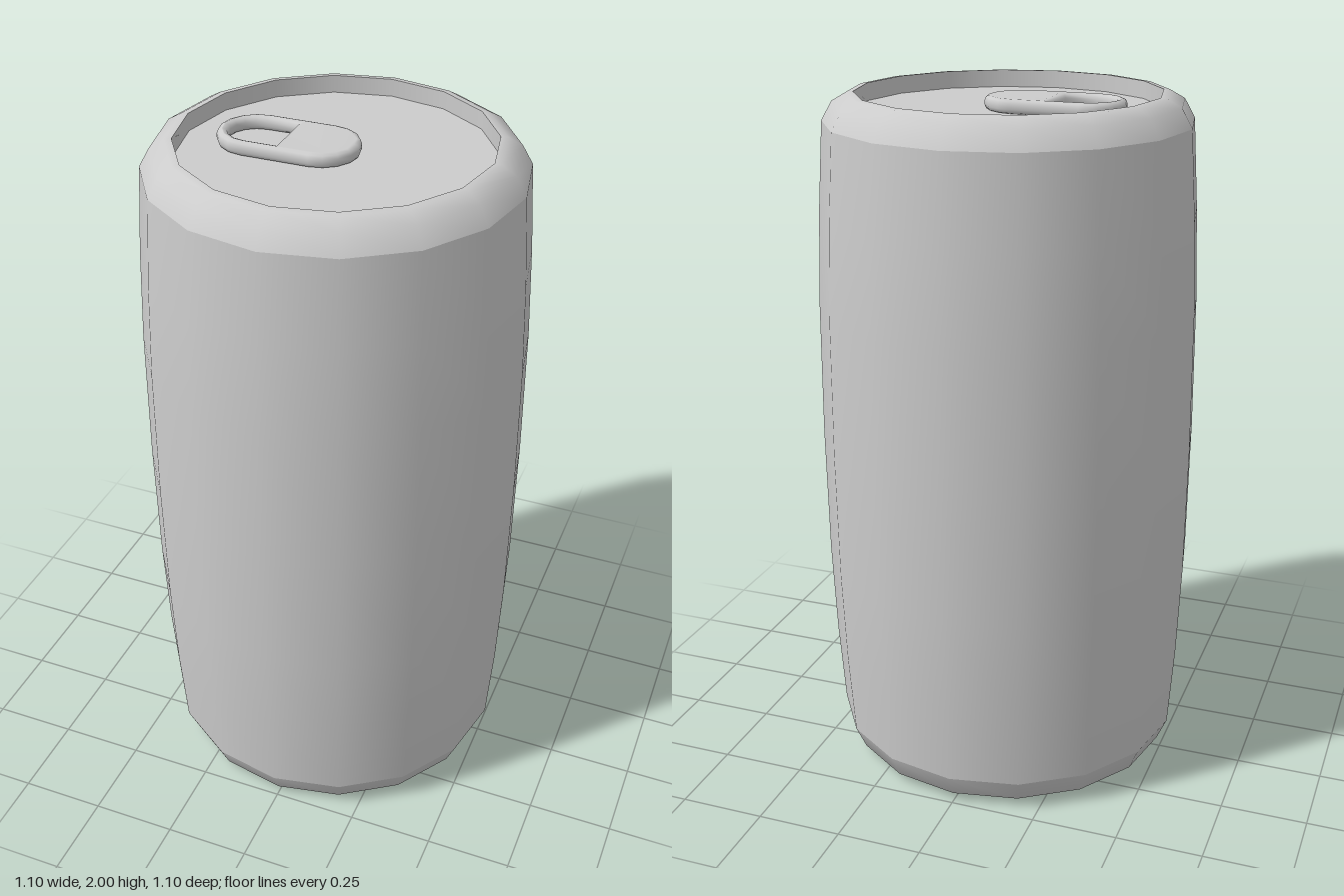
import * as THREE from 'three';
import { mergeVertices } from 'three/addons/utils/BufferGeometryUtils.js';

const SIDES = 16;

export function createModel() {
  const can = new THREE.Group();
  can.name = 'drinkCan';
  const metal = new THREE.MeshStandardMaterial({ color: 0xcccccc });
  metal.name = 'bare metal';

  const add = (name, geometry) => {
    const mesh = new THREE.Mesh(geometry, metal);
    mesh.name = name;
    can.add(mesh);
    return mesh;
  };
  // Each lathe is smooth in itself; creases fall between the parts
  const turn = (name, profile) =>
    add(name, new THREE.LatheGeometry(profile.map(([r, y]) => new THREE.Vector2(r, y)), SIDES));

  // Underside
  turn('baseDisc', [[0, 0.05], [0.39, 0.05]]);
  turn('baseRecess', [[0.39, 0.05], [0.43, 0]]);
  turn('baseRim', [[0.43, 0], [0.45, 0.003], [0.49, 0.027], [0.52, 0.095]]);

  // Slightly bulging wall
  turn('body', [[0.52, 0.095], [0.537, 0.34], [0.548, 0.62], [0.552, 1],
    [0.548, 1.4], [0.537, 1.67], [0.52, 1.922]]);

  // Shoulder and sunken lid
  turn('shoulder', [[0.52, 1.922], [0.49, 1.975], [0.45, 1.998], [0.43, 2]]);
  turn('lidRecess', [[0.43, 2], [0.43, 1.95]]);
  turn('lid', [[0.43, 1.95], [0, 1.95]]);

  // Pull tab: rounded plate with a finger hole, bevelled and smooth
  const bevel = 0.014;
  const r = 0.105 - bevel;
  const outline = new THREE.Shape();
  outline.absarc(-0.04, 0, r, -Math.PI / 2, Math.PI / 2, false);
  outline.absarc(-0.23, 0, r, Math.PI / 2, Math.PI * 1.5, false);
  outline.closePath();
  const hole = new THREE.Path();
  const h = 0.073 + bevel;
  hole.moveTo(-0.14 + bevel, -h);
  hole.lineTo(-0.14 + bevel, h);
  hole.absarc(-0.232, 0, h, Math.PI / 2, Math.PI * 1.5, false);
  hole.closePath();
  // Hole walls keep a thin rim, so the bevel starts from a narrow ring
  outline.holes.push(hole);
  let tabShape = new THREE.ExtrudeGeometry(outline, {
    depth: 0.012, bevelEnabled: true, bevelSize: bevel, bevelThickness: bevel,
    bevelSegments: 2, curveSegments: 4,
  });
  tabShape.deleteAttribute('normal');
  tabShape.deleteAttribute('uv');
  tabShape = mergeVertices(tabShape, 1e-4);
  tabShape.computeVertexNormals();
  tabShape.rotateX(-Math.PI / 2);
  add('pullTab', tabShape).position.y = 1.95 + bevel;

  return can;
}
